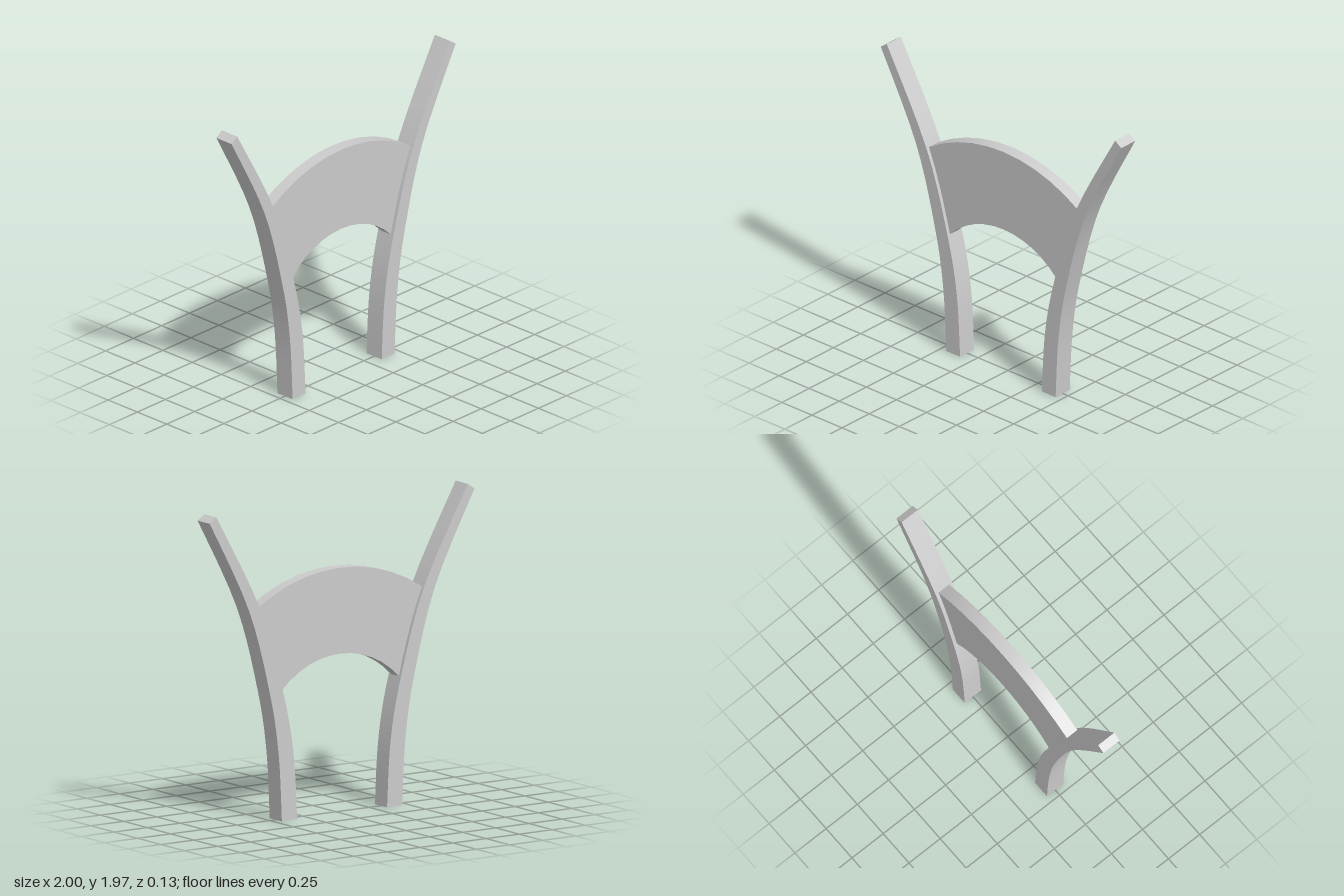
import * as THREE from 'three';
import { toCreasedNormals } from 'three/addons/utils/BufferGeometryUtils.js';

const v = (x, y) => new THREE.Vector2(x, y);

// Edge curves of one leg, from the floor to the tip
const innerEdge = new THREE.SplineCurve([v(0.34, 0), v(0.367, 0.42), v(0.445, 0.81), v(0.62, 1.355), v(0.95, 1.965)]);
const outerEdge = new THREE.SplineCurve([v(0.455, 0), v(0.479, 0.42), v(0.545, 0.81), v(0.705, 1.355), v(1.0, 1.93)]);

// Points of a shallow arch from +halfWidth to -halfWidth
function arch(halfWidth, endY, topY, steps) {
  const sag = topY - endY;
  const radius = (halfWidth * halfWidth + sag * sag) / (2 * sag);
  const half = Math.asin(halfWidth / radius);
  const points = [];
  for (let i = 0; i <= steps; i++) {
    const a = half * (1 - (2 * i) / steps);
    points.push(v(radius * Math.sin(a), topY - radius + radius * Math.cos(a)));
  }
  return points;
}

// Flat slab cut to an outline and centred in depth
function slab(name, outline, depth, material) {
  const geometry = new THREE.ExtrudeGeometry(new THREE.Shape(outline), { depth, bevelEnabled: false });
  geometry.translate(0, 0, -depth / 2);
  const mesh = new THREE.Mesh(toCreasedNormals(geometry, 0.5), material);
  mesh.name = name;
  return mesh;
}

const mirror = (points) => points.map((p) => v(-p.x, p.y));

export function createModel() {
  const group = new THREE.Group();
  group.name = 'archedStand';
  const material = new THREE.MeshStandardMaterial({ color: 0xcccccc });

  // Curved legs, tapering towards the tip
  const leg = [...outerEdge.getPoints(20), ...innerEdge.getPoints(20).reverse()];
  group.add(slab('leftLeg', leg, 0.13, material));
  group.add(slab('rightLeg', mirror(leg), 0.13, material));

  // Arched panel between the legs, its sides following their inner edges
  const side = innerEdge.getPoints(20).filter((p) => p.y > 0.83 && p.y < 1.34);
  const panel = [
    ...side,
    ...arch(0.62, 1.355, 1.54, 10),
    ...mirror(side).reverse(),
    ...arch(0.445, 0.81, 1.0, 12).reverse(),
  ];
  group.add(slab('archedPanel', panel, 0.083, material));

  return group;
}
